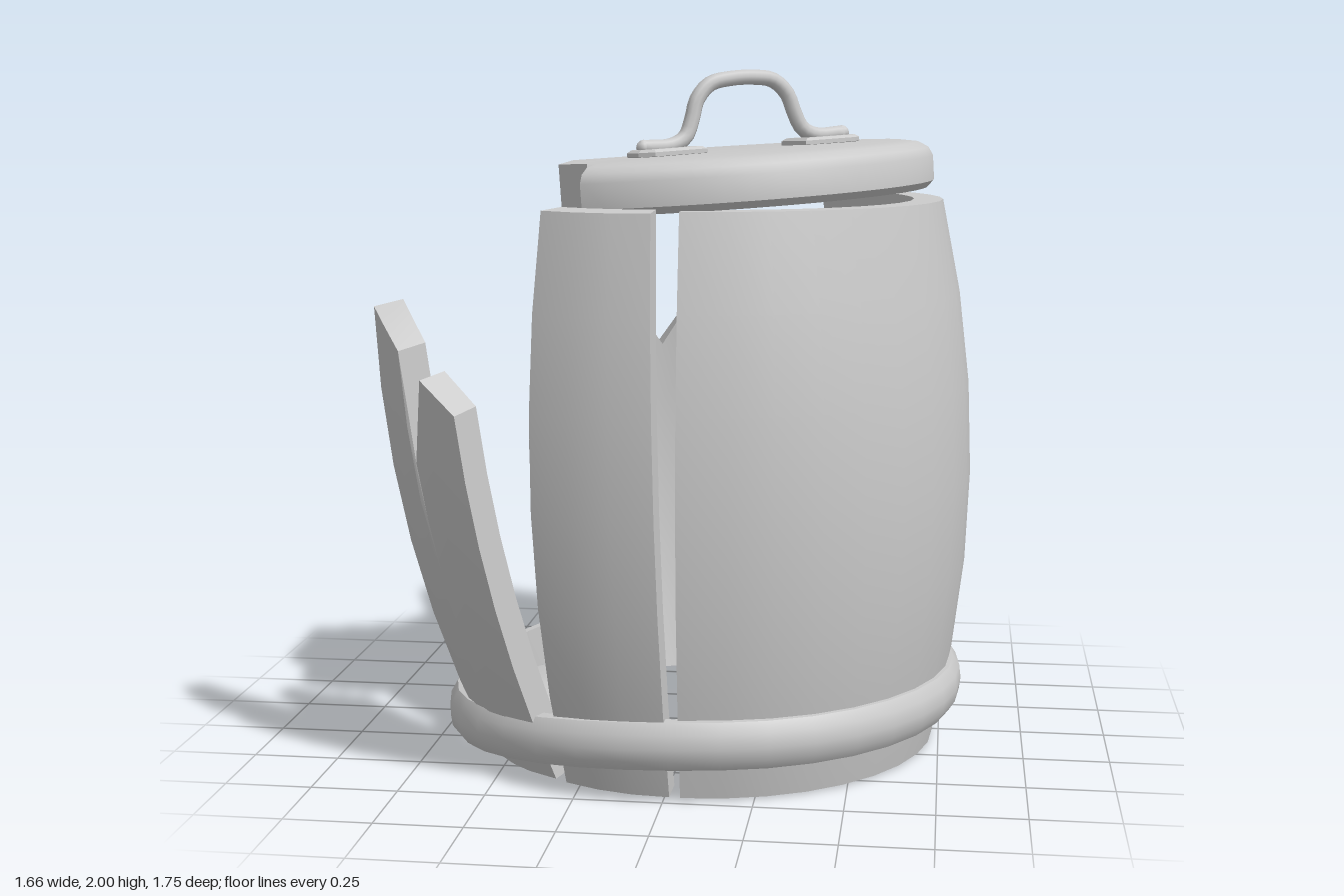
import * as THREE from 'three';
import { toCreasedNormals } from 'three/addons/utils/BufferGeometryUtils.js';

const mat = new THREE.MeshStandardMaterial({ color: 0xcccccc, side: THREE.DoubleSide });
const rad = THREE.MathUtils.degToRad;

function mesh(name, geo, crease = 0.6) {
  const m = new THREE.Mesh(toCreasedNormals(geo, crease), mat);
  m.name = name;
  return m;
}

// Skin a list of columns of Vector3, optionally closed both ways, with extra quads as caps.
function skin(cols, closeI, closeJ, caps = []) {
  const pos = [];
  const tri = (a, b, c) => {
    if (a.distanceTo(b) < 1e-6 || b.distanceTo(c) < 1e-6 || a.distanceTo(c) < 1e-6) return;
    for (const p of [a, b, c]) pos.push(p.x, p.y, p.z);
  };
  const quad = (a, b, c, d) => { tri(a, b, c); tri(a, c, d); };
  const ni = cols.length, nj = cols[0].length;
  for (let i = 0; i < ni - (closeI ? 0 : 1); i++) {
    const p = cols[i], q = cols[(i + 1) % ni];
    for (let j = 0; j < nj - (closeJ ? 0 : 1); j++) {
      const k = (j + 1) % nj;
      quad(p[j], p[k], q[k], q[j]);
    }
  }
  caps.forEach(c => quad(...c));
  const g = new THREE.BufferGeometry();
  g.setAttribute('position', new THREE.Float32BufferAttribute(pos, 3));
  return g;
}

// Bulging barrel radius at a height
const radius = y => 0.69 + 0.1 * (1 - ((y - 0.83) / 0.82) ** 2);

// Curved plank; tops lists [angle in degrees, height], lean tips it outward from its foot
function stave(name, tops, lean = 0) {
  const rows = 6, thick = 0.085;
  const mid = rad((tops[0][0] + tops[tops.length - 1][0]) / 2);
  const out = new THREE.Vector3(Math.cos(mid), 0, Math.sin(mid));
  const axis = new THREE.Vector3(0, 1, 0).cross(out);
  const foot = out.clone().multiplyScalar(radius(0));
  const cols = tops.map(([deg, top]) => {
    const a = rad(deg), outer = [], inner = [];
    for (let j = 0; j <= rows; j++) {
      const y = 0.01 + (top - 0.01) * j / rows;
      const at = r => new THREE.Vector3(r * Math.cos(a), y, r * Math.sin(a))
        .sub(foot).applyAxisAngle(axis, lean).add(foot);
      outer.push(at(radius(y)));
      inner.unshift(at(radius(y) - thick));
    }
    return [...outer, ...inner];
  });
  const caps = [], last = 2 * rows + 1, a = cols[0], b = cols[cols.length - 1];
  for (let j = 0; j < rows; j++) {
    caps.push([a[last - j], a[last - j - 1], a[j + 1], a[j]]);
    caps.push([b[j], b[j + 1], b[last - j - 1], b[last - j]]);
  }
  return mesh(name, skin(cols, false, true, caps));
}

// Evenly divided plank top
const level = (a0, a1, top, n) =>
  Array.from({ length: n + 1 }, (_, i) => [a0 + (a1 - a0) * i / n, top]);

function makeHoop() {
  const profile = [[0.725, 0.115], [0.76, 0.115], [0.78, 0.145], [0.785, 0.18], [0.78, 0.22],
    [0.76, 0.25], [0.725, 0.25], [0.725, 0.115]].map(p => new THREE.Vector2(...p));
  const g = new THREE.LatheGeometry(profile, 36);
  const p = g.attributes.position;
  // The loose side sags
  for (let i = 0; i < p.count; i++) {
    p.setY(i, p.getY(i) - 0.12 * Math.max(0, 0.15 - p.getX(i)) ** 2);
  }
  return mesh('hoop', g, 0.8);
}

function makeLid() {
  const lid = new THREE.Group();
  lid.name = 'lid';
  // Outline: a round arc, then the broken edge
  const edge = [];
  for (let i = 0; i <= 32; i++) {
    const a = rad(-104 + 217 * i / 32);
    edge.push({ x: Math.cos(a) * 0.675, z: Math.sin(a) * 0.675, round: 1 });
  }
  for (const [x, z] of [[-0.265, 0.485], [-0.365, 0.385], [-0.395, 0.005], [-0.095, -0.095], [-0.025, -0.245]]) {
    edge.push({ x, z, round: 0 });
  }
  const layers = [[0.02, 0], [0, 0.02], [0, 0.09], [0.012, 0.115], [0.04, 0.132], [0.09, 0.14]];
  const cols = edge.map(({ x, z, round }) => {
    const ring = layers.map(([inset, y]) => {
      const s = 1 - round * inset / 0.675;
      return new THREE.Vector3(x * s, round ? y : (y > 0.1 ? 0.1 + (y - 0.1) : y), z * s);
    });
    return [new THREE.Vector3(0.165, 0, 0.025), ...ring, new THREE.Vector3(0.165, 0.142, 0.025)];
  });
  lid.add(mesh('lidBoard', skin(cols, true, false), 0.7));

  // Handle with a foot plate at each end
  const handle = new THREE.Group();
  handle.name = 'handle';
  const half = [[0.33, 0.168], [0.24, 0.168], [0.195, 0.19], [0.17, 0.24], [0.15, 0.295], [0.105, 0.338], [0.04, 0.35]];
  const path = [...half.map(([t, y]) => new THREE.Vector3(-t, y, 0)),
    ...half.map(([t, y]) => new THREE.Vector3(t, y, 0)).reverse()];
  handle.add(mesh('handleBar',
    new THREE.TubeGeometry(new THREE.CatmullRomCurve3(path), 40, 0.023, 10, false), 0.9));
  const plate = new THREE.Shape([[-0.09, -0.065], [0.06, -0.065], [0.09, -0.035], [0.09, 0.035],
    [0.06, 0.065], [-0.09, 0.065]].map(p => new THREE.Vector2(...p)));
  for (const s of [-1, 1]) {
    const g = new THREE.ExtrudeGeometry(plate, {
      depth: 0.012, bevelEnabled: true, bevelSize: 0.012, bevelThickness: 0.008, bevelSegments: 1 });
    g.rotateX(-Math.PI / 2).rotateY(s < 0 ? Math.PI : 0);
    const foot = mesh('handleFoot', g, 0.4);
    foot.position.set(s * 0.265, 0.142, 0);
    handle.add(foot);
    // Closed bar ends
    const tip = mesh('handleTip', new THREE.SphereGeometry(0.023, 10, 6), 0.9);
    tip.position.set(s * 0.33, 0.168, 0);
    handle.add(tip);
  }
  handle.position.set(0.125, 0, 0);
  handle.rotation.y = 0.58;
  lid.add(handle);
  lid.position.set(0.035, 1.624, 0.025);
  lid.rotation.z = 0.065;
  return lid;
}

export function createModel() {
  const model = new THREE.Group();
  model.name = 'brokenBarrel';

  const body = new THREE.Group();
  body.name = 'body';
  body.position.set(0.04, 0, 0.03);
  body.add(stave('mainShell', level(-60, 89.5, 1.63, 15)));
  body.add(stave('frontStave', level(92, 118.5, 1.635, 3), 0.07));
  body.add(stave('splitStave', [[121.5, 1.13], [131, 1.22], [137, 0.98], [138.5, 1.29], [145, 1.35], [152, 1.39]], 0.215));
  body.add(stave('jaggedBackStave', [[215, 0.8], [222, 0.86], [227, 0.84], [229, 0.87], [236, 1.02], [239, 1.0],
    [243, 1.1], [245, 1.2], [251, 1.1], [258, 1.23], [265, 1.47], [269.5, 1.48]], 0.02));
  body.add(stave('shortBackStave', [[272, 0.93], [279, 1.03], [285, 1.1], [292, 1.03], [300, 0.95]], 0.12));
  model.add(body);

  const hoop = makeHoop();
  hoop.position.set(0.03, 0, 0.03);
  model.add(hoop);
  model.add(makeLid());

  // Broken plank lying on the floor inside
  const fallen = stave('fallenPlank', [[77, 0.5], [84, 0.5], [88, 0.58], [92, 0.47], [103, 0.45]]);
  fallen.rotation.set(-Math.PI / 2, -0.99, 0, 'YXZ');
  fallen.position.set(-0.615, -0.585, 0.18);
  model.add(fallen);
  return model;
}
